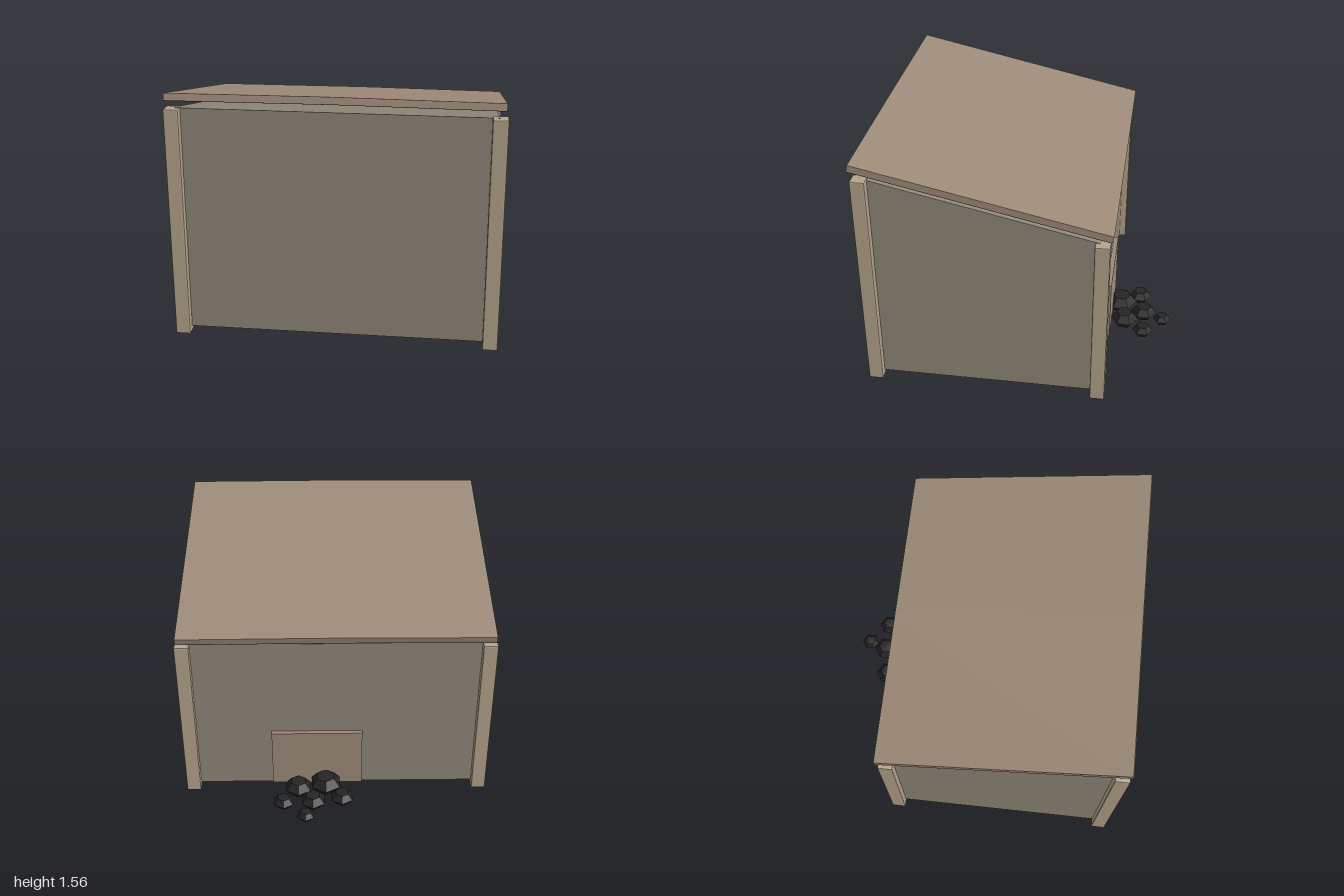
import * as THREE from 'three';
import { RoundedBoxGeometry } from 'three/addons/geometries/RoundedBoxGeometry.js';

const mat = (color) => new THREE.MeshStandardMaterial({ color, flatShading: true });

export function createModel() {
  const model = new THREE.Group();
  const wallMat = mat(0x8f8678), postMat = mat(0xb3a28a), roofMat = mat(0x9c8a78);
  const darkMat = mat(0x24211d), coalMat = mat(0x242424);

  const add = (parent, name, geometry, material, x = 0, y = 0, z = 0) => {
    const mesh = new THREE.Mesh(geometry, material);
    mesh.name = name;
    mesh.position.set(x, y, z);
    parent.add(mesh);
    return mesh;
  };

  // Bunker body: side profile (z, y) extruded across the width
  const halfWidth = 0.95;
  const profile = new THREE.Shape([
    [-0.53, 0.035], [0.895, 0.035], [0.895, 1.458], [-0.53, 1.137],
  ].map(([z, y]) => new THREE.Vector2(z, y)));
  const body = new THREE.ExtrudeGeometry(profile, { depth: halfWidth * 2, bevelEnabled: false });
  body.translate(0, 0, -halfWidth).rotateY(-Math.PI / 2);
  add(model, 'bunkerBody', body, wallMat);

  // Corner posts, tall at the front and short at the back
  for (const [end, z, height] of [['front', 0.895, 1.457], ['back', -0.53, 1.14]]) {
    for (const side of [-1, 1]) {
      const post = new RoundedBoxGeometry(0.092, height, 0.092, 1, 0.008);
      add(model, `${end}${side > 0 ? 'Left' : 'Right'}Post`, post, postMat, side * 0.952, height / 2, z);
    }
  }

  // Sloping lid with a very shallow ridge along its centre seam
  const lid = new THREE.Group();
  lid.name = 'lid';
  lid.position.set(0, 1.366, 0.18);
  lid.rotation.x = -0.22;
  model.add(lid);
  const ridged = (thickness) => {
    const geometry = new THREE.BoxGeometry(1.968, thickness, 1.578, 2, 1, 1);
    const p = geometry.attributes.position;
    for (let i = 0; i < p.count; i++) {
      p.setY(i, p.getY(i) + 0.006 * (1 - Math.abs(p.getX(i)) / 0.984));
    }
    return geometry;
  };
  add(lid, 'lidBoards', ridged(0.042), roofMat);
  add(lid, 'lidUnderside', ridged(0.003), darkMat, 0, -0.0225, 0);

  // Hatch low on the back wall
  add(model, 'hatch', new THREE.BoxGeometry(0.59, 0.41, 0.03), roofMat, 0.125, 0.255, -0.545);

  // Coal lumps spilled in front of the hatch: x, z, radius, half height
  const coal = new THREE.Group();
  coal.name = 'coalPile';
  model.add(coal);
  const lumps = [
    [0.07, -0.615, 0.107, 0.058], [0.25, -0.648, 0.092, 0.052],
    [0.153, -0.775, 0.085, 0.046], [-0.035, -0.742, 0.078, 0.042],
    [0.345, -0.778, 0.07, 0.038], [0.2, -0.902, 0.06, 0.032],
  ];
  lumps.forEach(([x, z, r, h], i) => {
    const outline = [[0, -h], [0.58 * r, -h * 0.95], [r, 0], [0.58 * r, h * 0.95], [0, h]]
      .map(([a, b]) => new THREE.Vector2(a, b));
    add(coal, `coalLump${i + 1}`, new THREE.LatheGeometry(outline, 6), coalMat, x, 0.036 + h, z);
  });

  return model;
}
